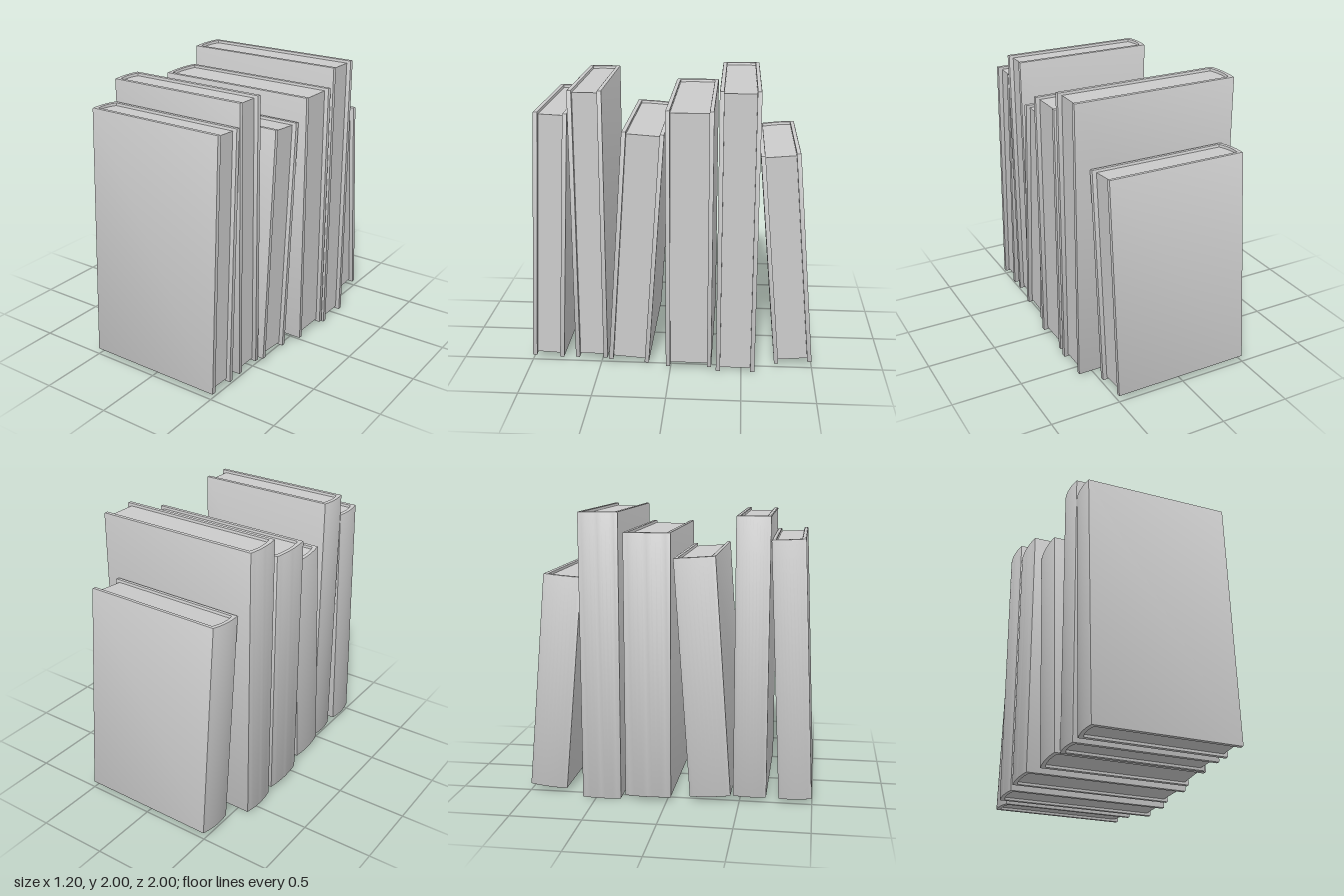
import * as THREE from 'three';
import { toCreasedNormals } from 'three/addons/utils/BufferGeometryUtils.js';

const BOARD = 0.03;   // cover thickness
const BOW = 0.015;    // outward bulge of the spine
const LIP = 0.02;     // cover overhang above and below the pages
const material = new THREE.MeshStandardMaterial({ color: 0xcccccc });

// Extrudes a plan outline upwards, centred on y = 0, with softened edges
function upright(shape, height, bevel) {
  const geometry = new THREE.ExtrudeGeometry(shape, {
    depth: height - 2 * bevel, curveSegments: 10,
    bevelEnabled: bevel > 0, bevelSize: bevel, bevelThickness: bevel,
    bevelOffset: -bevel, bevelSegments: 2,
  });
  geometry.translate(0, 0, bevel - height / 2);
  geometry.rotateX(-Math.PI / 2);
  return toCreasedNormals(geometry, 0.6);
}

// Two boards joined by a bowed spine on the -x side
function coverShape(halfX, halfZ) {
  const back = -halfX + BOW, inner = halfZ - BOARD;
  const s = new THREE.Shape();
  s.moveTo(halfX, -halfZ);
  s.lineTo(halfX, -inner);
  s.lineTo(back + BOARD, -inner);
  s.quadraticCurveTo(back + BOARD - 2 * BOW, 0, back + BOARD, inner);
  s.lineTo(halfX, inner);
  s.lineTo(halfX, halfZ);
  s.lineTo(back, halfZ);
  s.quadraticCurveTo(back - 2 * BOW, 0, back, -halfZ);
  s.closePath();
  return s;
}

// Page block filling the cover, set back from the fore edge
function pageShape(halfX, halfZ) {
  const back = -halfX + BOW + BOARD, fore = halfX - BOARD, inner = halfZ - BOARD;
  const s = new THREE.Shape();
  s.moveTo(fore, -inner);
  s.lineTo(fore, inner);
  s.lineTo(back, inner);
  s.quadraticCurveTo(back - 2 * BOW, 0, back, -inner);
  s.closePath();
  return s;
}

function makeBook({ depth, height, thick, x = 0, y, z, lean = 0 }) {
  const book = new THREE.Group();
  const cover = new THREE.Mesh(upright(coverShape(depth / 2, thick / 2), height, 0.007), material);
  cover.name = 'cover';
  const pages = new THREE.Mesh(upright(pageShape(depth / 2, thick / 2), height - 2 * LIP, 0), material);
  pages.name = 'pages';
  book.add(cover, pages);
  book.position.set(x, y, z);
  book.rotation.x = lean;
  return book;
}

export function createModel() {
  const model = new THREE.Group();
  model.name = 'bookRow';
  // Front to back; lean tips the top along z
  const books = [
    { depth: 1.03, height: 1.79, thick: 0.227, y: 0.93, z: 0.843, lean: -0.046 },
    { depth: 1.03, height: 1.94, thick: 0.23, y: 1.005, z: 0.57 },
    { depth: 1.095, height: 1.672, thick: 0.285, y: 0.868, z: 0.24, lean: -0.07 },
    { depth: 1.2, height: 1.835, thick: 0.32, y: 0.948, z: -0.13 },
    { depth: 1.2, height: 1.995, thick: 0.272, y: 1.0, z: -0.459 },
    { depth: 1.01, height: 1.53, thick: 0.266, x: -0.005, y: 0.797, z: -0.8, lean: 0.088 },
  ];
  books.forEach((spec, i) => {
    const book = makeBook(spec);
    book.name = `book${i + 1}`;
    model.add(book);
  });
  return model;
}
